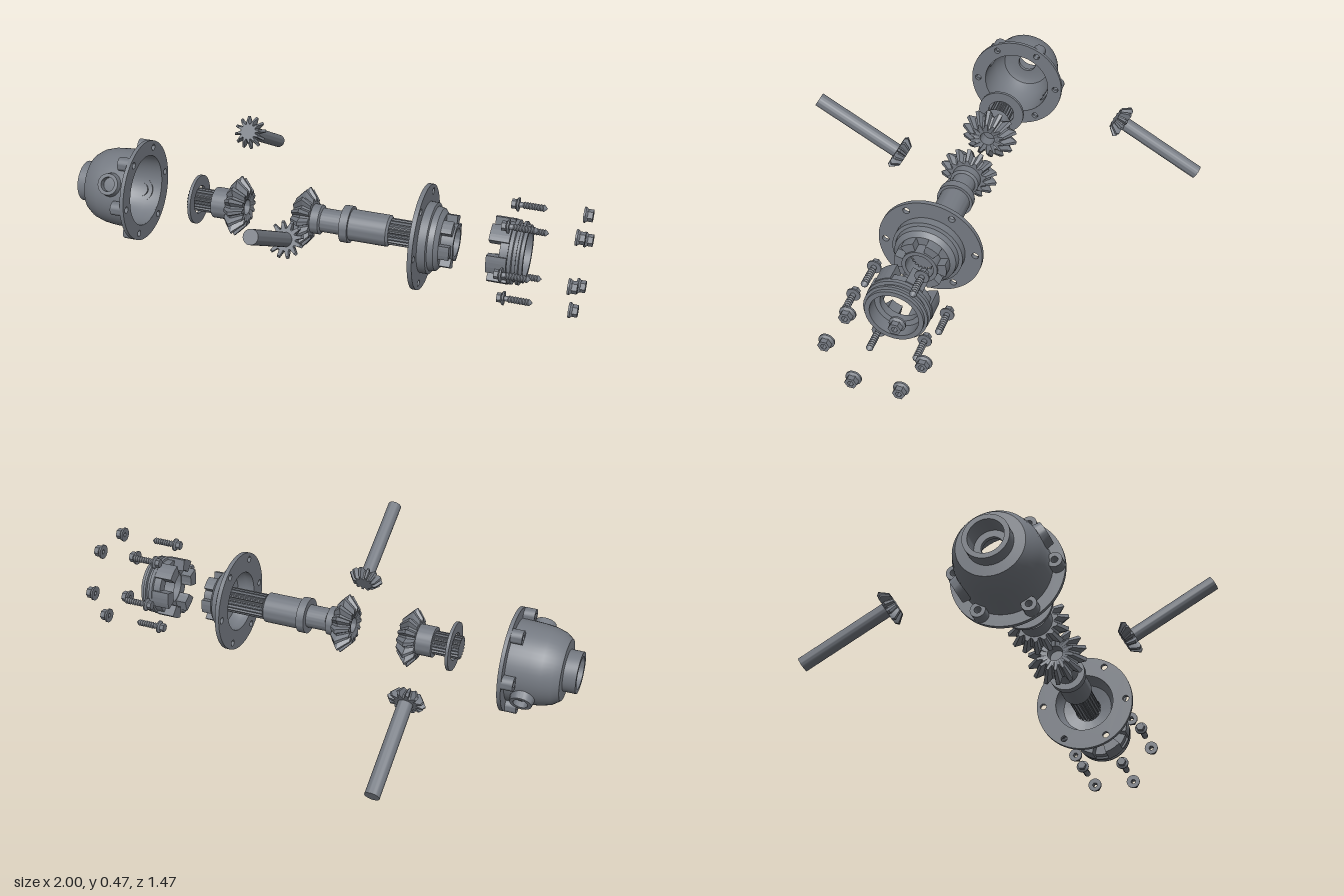
import * as THREE from 'three';
import { toCreasedNormals } from 'three/addons/utils/BufferGeometryUtils.js';

const STEP = Math.PI / 3;
const BOLT_R = 0.173;
const material = new THREE.MeshStandardMaterial({ color: 0x757a82, side: THREE.DoubleSide });

function add(parent, name, geo, crease = 0.6) {
  const mesh = new THREE.Mesh(toCreasedNormals(geo, crease), material);
  mesh.name = name;
  parent.add(mesh);
  return mesh;
}

function group(parent, name) {
  const g = new THREE.Group();
  g.name = name;
  parent.add(g);
  return g;
}

// Turned part: [radius, position along axis] pairs
const turned = (profile, segments = 48) =>
  new THREE.LatheGeometry(profile.map(([r, y]) => new THREE.Vector2(r, y)), segments);

// Toothed part: rings of [position, root radius, tip radius] joined in order
function toothed(rings, teeth, duty = 0.3) {
  const pos = [], idx = [], n = teeth * 4;
  const pitch = (Math.PI * 2) / teeth;
  const offsets = [0, 0.5 - duty / 2 - 0.1, 0.5 - duty / 2 + 0.06, 0.5 + duty / 2 + 0.06];
  for (const [y, root, tip] of rings)
    for (let i = 0; i < n; i++) {
      const k = i % 4, a = (Math.floor(i / 4) + offsets[k]) * pitch;
      const r = k < 2 ? root : tip;
      pos.push(r * Math.sin(a), y, r * Math.cos(a));
    }
  for (let j = 0; j < rings.length - 1; j++)
    for (let i = 0; i < n; i++) {
      const a = j * n + i, b = j * n + ((i + 1) % n);
      idx.push(a, b, b + n, a, b + n, a + n);
    }
  const geo = new THREE.BufferGeometry();
  geo.setAttribute('position', new THREE.Float32BufferAttribute(pos, 3));
  geo.setIndex(idx);
  return geo;
}

const extrude = (shape, y0, y1) => new THREE.ExtrudeGeometry(shape,
  { depth: y1 - y0, bevelEnabled: false, curveSegments: 40 }).rotateX(-Math.PI / 2).translate(0, y0, 0);

// Round flange with a centre opening and six bolt holes
function flange(inner, y0, y1) {
  const shape = new THREE.Shape().absarc(0, 0, 0.2, 0, Math.PI * 2);
  shape.holes.push(new THREE.Path().absarc(0, 0, inner, 0, Math.PI * 2, true));
  for (let k = 0; k < 6; k++) {
    const a = k * STEP;
    shape.holes.push(new THREE.Path()
      .absarc(BOLT_R * Math.sin(a), BOLT_R * Math.cos(a), 0.013, 0, Math.PI * 2, true));
  }
  return extrude(shape, y0, y1);
}

// Six curved blocks standing on a ring
function castellations(parent, name, r0, r1, y0, y1, half) {
  const m = -Math.PI / 2;
  const shape = new THREE.Shape();
  shape.absarc(0, 0, r1, m - half, m + half, false);
  shape.absarc(0, 0, r0, m + half, m - half, true);
  shape.closePath();
  for (let k = 0; k < 6; k++) add(parent, name, extrude(shape, y0, y1)).rotation.y = k * STEP;
}

// Repeat a builder at the six bolt positions
function onBoltCircle(parent, name, build) {
  for (let k = 0; k < 6; k++) {
    const g = group(parent, name), a = k * STEP;
    g.position.set(BOLT_R * Math.sin(a), 0, BOLT_R * Math.cos(a));
    build(g);
  }
}

// Side bevel gear; the flipped one points its small end down the axis
function sideGear(parent, y, flipped) {
  const rings = [[-0.03, 0.045, 0.045], [-0.03, 0.066, 0.08], [0, 0.088, 0.116],
    [0.042, 0.053, 0.072], [0.036, 0.03, 0.03], [-0.01, 0.03, 0.03], [-0.01, 0, 0]];
  const mesh = add(parent, 'sideGear', toothed(rings, 14), 0.4);
  mesh.position.y = y;
  if (flipped) mesh.rotation.x = Math.PI;
}

function planetGear(parent, x, y, z, dirY, dirZ) {
  const g = group(parent, 'planetGearShaft');
  g.position.set(x, y, z);
  g.quaternion.setFromUnitVectors(new THREE.Vector3(0, 1, 0),
    new THREE.Vector3(0, dirY, dirZ).normalize());
  add(g, 'planetGear', toothed([[-0.038, 0, 0], [-0.038, 0.032, 0.046],
    [-0.008, 0.045, 0.07], [0.003, 0.04, 0.062], [0.003, 0, 0]], 12), 0.4);
  add(g, 'planetShaft', turned([[0, -0.02], [0.0275, -0.02], [0.0275, 0.365], [0, 0.365]], 32));
}

function housing(axle) {
  const g = group(axle, 'housing');
  add(g, 'housingShell', turned([[0.038, -0.93], [0.062, -0.93], [0.062, -1.004], [0.08, -1.004],
    [0.08, -0.955], [0.118, -0.953], [0.138, -0.925], [0.15, -0.885], [0.155, -0.84], [0.158, -0.757],
    [0.158, -0.744], [0.14, -0.744], [0.138, -0.8], [0.125, -0.86], [0.1, -0.905],
    [0.075, -0.915], [0.038, -0.915], [0.038, -0.93]]));
  add(g, 'housingFlange', flange(0.14, -0.757, -0.742));
  onBoltCircle(g, 'boltBoss', b => add(b, 'boltBoss', turned([[0.012, -0.76], [0.012, -0.8],
    [0.027, -0.8], [0.027, -0.755]], 24)));
  // Bores for the two planet shafts
  for (const a of [-Math.PI / 6, Math.PI * 5 / 6]) {
    const arm = group(g, 'shaftBore');
    arm.rotation.y = a;
    const bore = add(arm, 'shaftBore', turned([[0.05, 0.13], [0.042, 0.178], [0.028, 0.178], [0.028, 0.13]], 28));
    bore.rotation.x = Math.PI / 2;
    bore.position.y = -0.825;
  }
}

function shortSideGear(axle) {
  const g = group(axle, 'shortSideGearShaft');
  sideGear(g, -0.347, false);
  add(g, 'gearHub', turned([[0, -0.44], [0.06, -0.44], [0.06, -0.37], [0, -0.37]]));
  add(g, 'splinedEnd', toothed([[-0.545, 0, 0], [-0.545, 0.038, 0.046], [-0.435, 0.038, 0.046]], 20), 0.4);
  add(g, 'thrustWasher', turned([[0.055, -0.521], [0.096, -0.521], [0.096, -0.509], [0.055, -0.509], [0.055, -0.521]]));
}

function outputShaft(axle) {
  const g = group(axle, 'outputShaft');
  sideGear(g, -0.067, true);
  add(g, 'shaftBody', turned([[0, -0.045], [0.057, -0.045], [0.057, -0.005], [0.046, 0], [0.046, 0.083],
    [0.071, 0.083], [0.071, 0.115], [0.06, 0.115], [0.06, 0.262], [0.052, 0.27], [0, 0.27]]));
  add(g, 'shaftSplines', toothed([[0.265, 0.042, 0.051], [0.47, 0.042, 0.051], [0.47, 0, 0]], 20), 0.4);
}

function endCover(axle) {
  const g = group(axle, 'endCover');
  add(g, 'coverFlange', flange(0.12, 0.387, 0.404));
  add(g, 'coverBell', turned([[0.12, 0.39], [0.135, 0.402], [0.135, 0.435], [0.122, 0.438],
    [0.118, 0.46], [0.1, 0.475], [0.068, 0.475], [0.068, 0.522], [0.053, 0.522], [0.053, 0.46],
    [0.1, 0.45], [0.12, 0.42], [0.12, 0.39]]));
  castellations(g, 'coverDog', 0.064, 0.1, 0.465, 0.515, 0.28);
}

function coupling(axle) {
  const g = group(axle, 'lockingCoupling');
  add(g, 'couplingRing', turned([[0.072, 0.7], [0.112, 0.7], [0.112, 0.73], [0.12, 0.732], [0.12, 0.746],
    [0.108, 0.748], [0.108, 0.76], [0.118, 0.762], [0.118, 0.772], [0.108, 0.774], [0.108, 0.787],
    [0.09, 0.787], [0.09, 0.735], [0.072, 0.73], [0.072, 0.7]]));
  castellations(g, 'couplingDog', 0.076, 0.122, 0.656, 0.73, 0.29);
}

function fasteners(axle) {
  onBoltCircle(axle, 'bolt', g => {
    add(g, 'boltHead', turned([[0, 0.7], [0.018, 0.7], [0.018, 0.722], [0, 0.722]], 6));
    add(g, 'boltFlange', turned([[0.017, 0.716], [0.026, 0.722], [0.026, 0.728], [0, 0.728]], 24));
    // Shank with thread ridges
    const thread = [[0.01, 0.725], [0.01, 0.742]];
    for (let y = 0.742; y < 0.822; y += 0.01) thread.push([0.0135, y + 0.005], [0.0105, y + 0.01]);
    thread.push([0, 0.832]);
    add(g, 'boltShank', turned(thread, 16));
  });
  onBoltCircle(axle, 'nut', g => {
    add(g, 'nutBody', turned([[0.011, 0.966], [0.023, 0.966], [0.023, 0.996], [0.011, 0.996], [0.011, 0.966]], 6));
    add(g, 'nutFlange', turned([[0.011, 0.963], [0.029, 0.963], [0.029, 0.97], [0.02, 0.978]], 24));
  });
}

export function createModel() {
  const model = new THREE.Group();
  model.name = 'explodedDifferential';
  // All turned parts share one axis along x
  const axle = group(model, 'axleParts');
  axle.position.set(0.004, 0.201, 0.115);
  axle.rotation.z = -Math.PI / 2;
  for (const build of [housing, shortSideGear, outputShaft, endCover, coupling, fasteners]) build(axle);
  planetGear(model, -0.041, 0.264, 0.404, 0.5, 0.866);
  planetGear(model, -0.501, 0.256, -0.407, -0.5, -0.866);
  return model;
}
